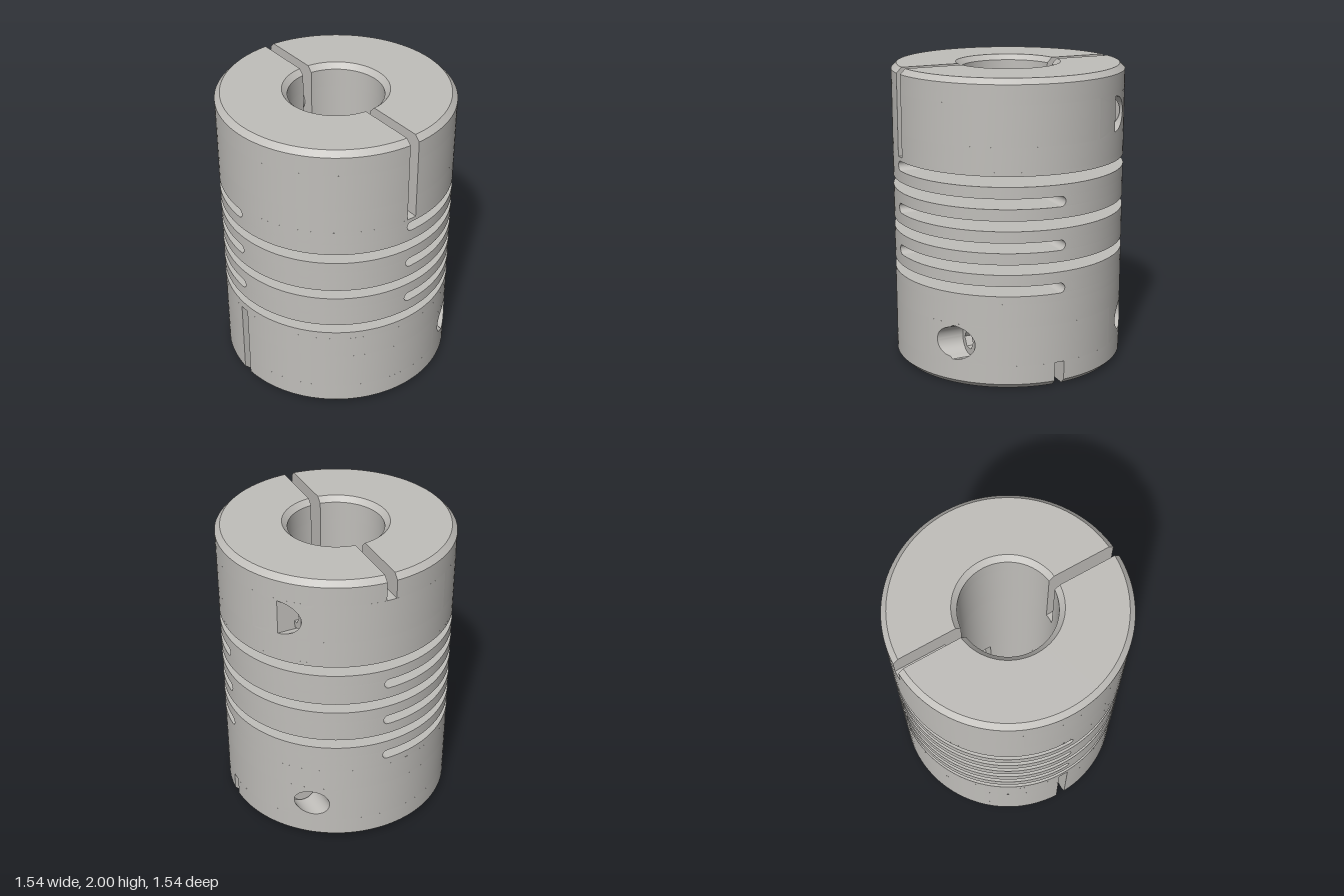
import * as THREE from 'three';
import { toCreasedNormals } from 'three/addons/utils/BufferGeometryUtils.js';

const R = 0.77, BORE = 0.31, CORE = 0.42, POCKET = 0.425, CHAMFER = 0.035;
const SLIT = 0.033;                      // half width of the clamp slits
const SHORT = 0.16, DEEP = 0.575;        // slit depths
const SCREW_X = 0.465, SCREW_Y = 0.29, SEAT = 0.45;
const PI = Math.PI;

const steel = new THREE.MeshStandardMaterial({ color: 0xc0beba });
steel.name = 'steel';

function meshFrom(name, pos) {
  const g = new THREE.BufferGeometry();
  g.setAttribute('position', new THREE.Float32BufferAttribute(pos, 3));
  const m = new THREE.Mesh(toCreasedNormals(g, 0.5), steel);
  m.name = name;
  return m;
}

function quad(out, a, b, c, d, flip = false) {
  const order = flip ? [a, c, b, a, d, c] : [a, b, c, a, c, d];
  for (const p of order) out.push(...p);
}

// Ring sector from levels [y, inner radius, outer radius, end inset];
// the inset keeps the end faces parallel to the radial plane.
function sector(name, levels, a0, a1, { start = 0, end = 0, outer = true } = {}) {
  const pos = [], steps = Math.max(1, Math.ceil((a1 - a0) / (2 * PI) * 112));
  const at = (level, side, i) => {
    const [y, , , w = SLIT] = level, r = level[side];
    const off = Math.asin(w / r);
    const a = THREE.MathUtils.lerp(a0 + off * start, a1 - off * end, i / steps);
    return [r * Math.sin(a), y, r * Math.cos(a)];
  };
  const lo = levels[0], hi = levels[levels.length - 1];
  for (let i = 0; i < steps; i++) {
    for (let k = 0; k + 1 < levels.length; k++) {
      const p = levels[k], q = levels[k + 1];
      if (outer) quad(pos, at(p, 2, i), at(p, 2, i + 1), at(q, 2, i + 1), at(q, 2, i));
      quad(pos, at(p, 1, i), at(p, 1, i + 1), at(q, 1, i + 1), at(q, 1, i), true);
    }
    quad(pos, at(hi, 1, i), at(hi, 2, i), at(hi, 2, i + 1), at(hi, 1, i + 1));
    quad(pos, at(lo, 1, i), at(lo, 2, i), at(lo, 2, i + 1), at(lo, 1, i + 1), true);
  }
  for (let k = 0; k + 1 < levels.length; k++) {
    const p = levels[k], q = levels[k + 1];
    if (start) quad(pos, at(p, 1, 0), at(p, 2, 0), at(q, 2, 0), at(q, 1, 0));
    if (end) quad(pos, at(p, 1, steps), at(p, 2, steps), at(q, 2, steps), at(q, 1, steps), true);
  }
  return meshFrom(name, pos);
}

const band = (y0, y1, rIn = BORE, rOut = R) => [[y0, rIn, rOut], [y1, rIn, rOut]];

// Piece of outer wall pierced by a screw hole, with the hole's inner wall
const WIN = { x0: 0.3, x1: 0.63, y0: SHORT, y1: 0.42 };
function screwHole(name, s, contour) {
  const pos = [], n = 16, rings = 5, rim = [];
  const corners = [[WIN.x1, WIN.y0], [WIN.x1, WIN.y1], [WIN.x0, WIN.y1], [WIN.x0, WIN.y0]];
  corners.forEach((c, k) => {
    const d = corners[(k + 1) % 4];
    for (let i = 0; i < n; i++) rim.push([c[0] + (d[0] - c[0]) * i / n, c[1] + (d[1] - c[1]) * i / n]);
  });
  const hole = rim.map(([x, y]) => contour(Math.atan2(y - SCREW_Y, x - SCREW_X)));
  const at = (i, k) => {
    const j = i % rim.length, t = k / rings;
    const x = hole[j][0] + (rim[j][0] - hole[j][0]) * t, y = hole[j][1] + (rim[j][1] - hole[j][1]) * t;
    return [x, y, s * Math.sqrt(R * R - x * x)];
  };
  for (let i = 0; i < rim.length; i++) {
    for (let k = 0; k < rings; k++) quad(pos, at(i, k), at(i, k + 1), at(i + 1, k + 1), at(i + 1, k), s < 0);
    const p = at(i, 0), q = at(i + 1, 0);
    quad(pos, p, q, [q[0], q[1], s * SEAT], [p[0], p[1], s * SEAT], s < 0);
  }
  return meshFrom(name, pos);
}

// Hole outlines: plain round, stepped counterbore, half counterbore
const round = (rRight, rLeft) => (t) => {
  const r = Math.cos(t) > -1e-6 ? rRight : rLeft;
  return [SCREW_X + r * Math.cos(t), SCREW_Y + r * Math.sin(t)];
};
const halfRound = (r) => (t) => [SCREW_X + r * Math.max(0, Math.cos(t)), SCREW_Y + r * Math.sin(t)];

// Socket head, its seat and the threaded shank
function clampScrew(s) {
  const g = new THREE.Group();
  g.name = 'clampScrew';
  const disc = new THREE.Shape().absarc(0, 0, 0.099, 0, 2 * PI);
  const hex = new THREE.Path();
  for (let i = 0; i < 6; i++) {
    const a = -i * PI / 3;
    hex[i ? 'lineTo' : 'moveTo'](0.065 * Math.cos(a), 0.065 * Math.sin(a));
  }
  hex.closePath();
  disc.holes.push(hex);
  const head = new THREE.Mesh(new THREE.ExtrudeGeometry(disc, { depth: 0.05, bevelEnabled: false, curveSegments: 24 }), steel);
  head.name = 'socketHead';
  const seat = new THREE.Mesh(new THREE.CircleGeometry(0.12, 32), steel);
  seat.name = 'headSeat';
  const farSeat = new THREE.Mesh(new THREE.CircleGeometry(0.12, 32), steel);
  farSeat.name = 'holeFloor';
  farSeat.rotation.x = PI;
  farSeat.position.z = -2 * SEAT;
  const shank = new THREE.Mesh(new THREE.CylinderGeometry(0.08, 0.08, 2 * SEAT + 0.02, 28).rotateX(PI / 2), steel);
  shank.name = 'shank';
  shank.position.z = -SEAT - 0.01;
  g.add(head, seat, farSeat, shank);
  g.position.set(SCREW_X, SCREW_Y, s * SEAT);
  if (s < 0) g.rotation.x = PI;
  return g;
}

// Clamp hub: end face at y = 0, deep slit at -x, short slit at +x
function clampHub(name, height, holes, screwSide) {
  const g = new THREE.Group();
  g.name = name;
  const both = { start: 1, end: 1 };
  const endLevels = [[0, BORE + CHAMFER, R - CHAMFER], [CHAMFER, BORE, R], [SHORT, BORE, R]];
  for (const a of [-PI / 2, PI / 2]) {
    g.add(sector('chamferedEnd', endLevels, a, a + PI, both));
    g.add(sector('innerJaw', band(SHORT, DEEP, BORE, POCKET), a, a + PI, both));
  }
  // Wall around the screw, split at the hole windows
  const w0 = Math.asin(WIN.x0 / R), w1 = Math.asin(WIN.x1 / R);
  const cuts = [-PI / 2, w0, w1, PI - w1, PI - w0, 1.5 * PI];
  for (let i = 0; i < 5; i++) {
    const outer = !((i === 1 && holes.front) || (i === 3 && holes.back));
    g.add(sector('clampWall', band(SHORT, WIN.y1, POCKET), cuts[i], cuts[i + 1],
      { start: i === 0 ? 1 : 0, end: i === 4 ? 1 : 0, outer }));
  }
  g.add(sector('upperClampWall', band(WIN.y1, DEEP, POCKET), -PI / 2, 1.5 * PI, both));
  g.add(sector('hubRoot', band(DEEP, height), 0, 2 * PI));
  if (holes.front) g.add(screwHole('screwHole', 1, holes.front));
  if (holes.back) g.add(screwHole('screwHole', -1, holes.back));
  g.add(clampScrew(screwSide));
  return g;
}

export function createModel() {
  const model = new THREE.Group();
  model.name = 'flexibleShaftCoupling';

  // Slots alternate between two opposite uncut quadrants
  const h = 0.033, pitch = 0.1413, first = 0.66, count = 6;
  const last = first + pitch * (count - 1);

  model.add(clampHub('lowerHub', first - h,
    { front: round(0.115, 0.1), back: round(0.095, 0.095) }, 1));
  const upper = clampHub('upperHub', 2 - last - h, { back: halfRound(0.115) }, -1);
  upper.applyMatrix4(new THREE.Matrix4().makeBasis(
    new THREE.Vector3(0, 0, -1), new THREE.Vector3(0, -1, 0), new THREE.Vector3(-1, 0, 0)
  ).setPosition(0, 2, 0));
  model.add(upper);

  model.add(sector('core', band(first - h, last + h, BORE, CORE), 0, 2 * PI));
  for (let i = 0; i < count; i++) {
    const yc = first + i * pitch, levels = [];
    for (let k = 0; k <= 10; k++) {
      const t = -PI / 2 + PI * k / 10;
      levels.push([yc + h * Math.sin(t), CORE, R, h * Math.cos(t)]);
    }
    const a = i % 2 ? -PI / 2 : PI / 2;
    model.add(sector('slotBridge', levels, a, a + PI / 2, { start: 1, end: 1 }));
    if (i < count - 1) model.add(sector('flexBeam', band(yc + h, yc + pitch - h, CORE), 0, 2 * PI));
  }
  return model;
}
